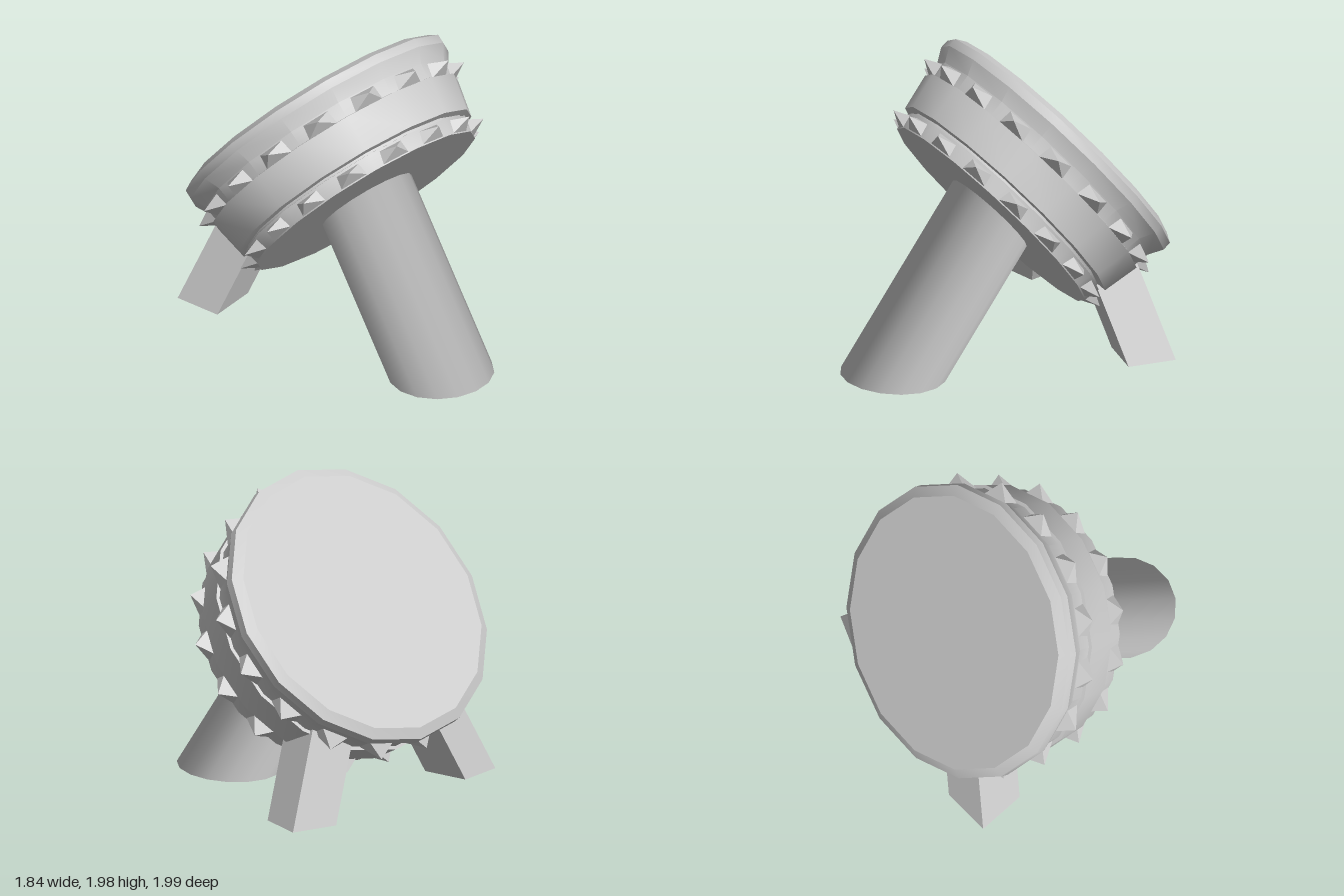
import * as THREE from 'three';
import { toCreasedNormals } from 'three/addons/utils/BufferGeometryUtils.js';

const SIDES = 16;
const grey = new THREE.MeshStandardMaterial({ color: 0xcccccc });
const greyFlat = new THREE.MeshStandardMaterial({ color: 0xcccccc, flatShading: true });
const greyOpen = new THREE.MeshStandardMaterial({ color: 0xcccccc, side: THREE.DoubleSide });

function addMesh(parent, name, geometry, material) {
  const mesh = new THREE.Mesh(geometry, material);
  mesh.name = name;
  parent.add(mesh);
  return mesh;
}

// Leans an upright geometry of height 1 so its cross-sections stay level.
function lean(geometry, bottom, top, lift = 0) {
  const p = geometry.attributes.position;
  const a = new THREE.Vector3(...bottom), b = new THREE.Vector3(...top), c = new THREE.Vector3();
  for (let i = 0; i < p.count; i++) {
    c.lerpVectors(a, b, p.getY(i) + 0.5);
    p.setXYZ(i, p.getX(i) + c.x, c.y + lift * p.getZ(i), p.getZ(i) + c.z);
  }
  geometry.computeVertexNormals();
  return geometry;
}

// Ring of four-sided studs around the drum axis.
function studRing(name, radius, y, height, width, depth) {
  const ring = new THREE.Group();
  ring.name = name;
  const stud = new THREE.ConeGeometry(Math.SQRT1_2, 1, 4)
    .rotateY(Math.PI / 4)
    .translate(0, 0.5, 0)
    .scale(width, height, depth)
    .rotateX(Math.PI / 2)
    .translate(0, y, radius);
  for (let i = 0; i < SIDES; i++) {
    addMesh(ring, 'stud', stud, greyFlat).rotation.y = ((i + 0.5) / SIDES) * Math.PI * 2;
  }
  return ring;
}

export function createModel() {
  const model = new THREE.Group();
  model.name = 'studdedDrum';
  const body = new THREE.Group();
  body.name = 'body';
  body.rotation.y = THREE.MathUtils.degToRad(32.5);
  model.add(body);

  // Tilted drum: front disc, studded ring, wall, studded band, bevelled back rim
  const drum = new THREE.Group();
  drum.name = 'drum';
  drum.position.set(0.1, 1.295, -0.3);
  drum.rotation.x = -0.914;
  body.add(drum);
  const profile = [
    [0, -0.63], [0.76, -0.63], [0.78, -0.53], [0.755, -0.525], [0.755, -0.51],
    [0.81, -0.505], [0.855, -0.28], [0.835, -0.275], [0.85, -0.18],
    [0.9, -0.09], [0.9, -0.035], [0.84, 0], [0, 0],
  ].map(([r, y]) => new THREE.Vector2(r, y));
  const shell = toCreasedNormals(new THREE.LatheGeometry(profile, SIDES), 0.45);
  addMesh(drum, 'drumShell', shell, grey);
  drum.add(studRing('backStuds', 0.815, -0.23, 0.11, 0.2, 0.1));
  drum.add(studRing('frontStuds', 0.74, -0.58, 0.11, 0.19, 0.09));

  // Open, slanted tube coming out of the front disc
  const tube = new THREE.CylinderGeometry(0.318, 0.318, 1, SIDES, 1, true);
  const normalsFromCircle = tube.attributes.normal.clone();
  lean(tube, [0.1, 0.027, 0.88], [0.1, 1.16, 0.025], 0.07);
  tube.setAttribute('normal', normalsFromCircle);
  addMesh(body, 'tube', tube, greyOpen);

  // Two splayed square legs at the back
  for (const [name, side, footY] of [['leftLeg', 1, 0.09], ['rightLeg', -1, 0.17]]) {
    const leg = new THREE.BoxGeometry(0.298, 1, 0.298).rotateY(-side * 0.2);
    const rise = 0.82 - footY;
    lean(leg,
      [0.108 + side * 0.633, footY, -0.475],
      [0.108 + side * (0.633 - 0.46 * rise), 0.82, -0.475 + 0.2 * rise]);
    addMesh(body, name, leg, greyFlat);
  }
  return model;
}
